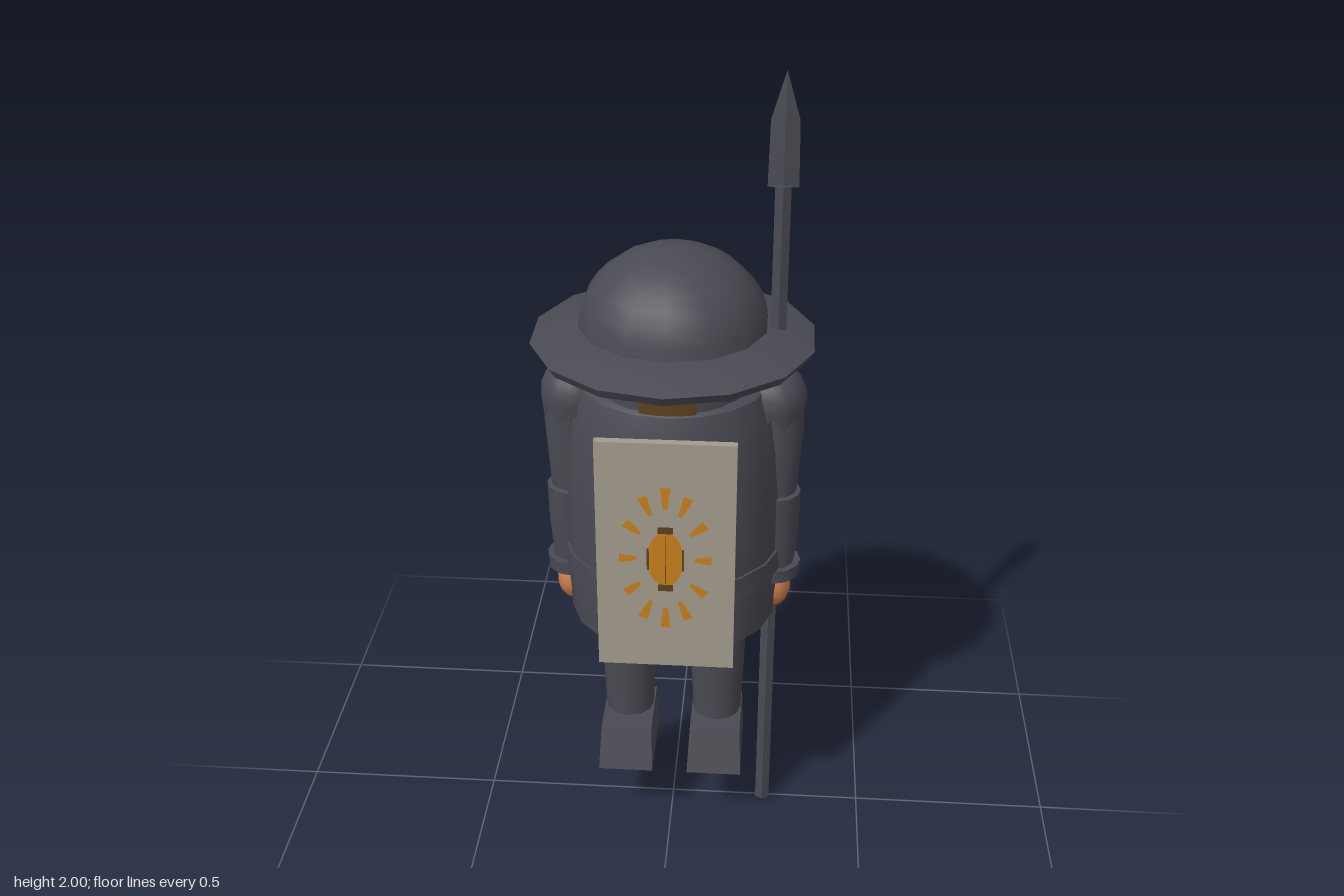
import * as THREE from 'three';
import { mergeGeometries, toCreasedNormals } from 'three/addons/utils/BufferGeometryUtils.js';

const material = (name, color) => {
  const m = new THREE.MeshStandardMaterial({ color });
  m.name = name;
  return m;
};

export function createModel() {
  const model = new THREE.Group();
  model.name = 'guard';
  const steel = material('dark steel', 0x4a4a53);
  const skin = material('skin', 0xc97a4b);
  const board = material('shield grey', 0xa39b8e);
  const orange = material('emblem orange', 0xc8801c);
  const brown = material('dark brown', 0x5c4020);

  const add = (parent, name, geometry, mat, x = 0, y = 0, z = 0) => {
    const mesh = new THREE.Mesh(geometry, mat);
    mesh.name = name;
    mesh.position.set(x, y, z);
    parent.add(mesh);
    return mesh;
  };
  // Turned shape from [radius, height] pairs, bottom to top
  const turned = (points, sides = 14, sx = 1, sz = 1) => {
    const g = new THREE.LatheGeometry(points.map(p => new THREE.Vector2(...p)), sides);
    g.scale(sx, 1, sz);
    return toCreasedNormals(g, 0.65);
  };

  // Helmet: wide sloping brim with a rounded dome
  add(model, 'helmetBrim', turned([
    [0, 1.365], [0.2, 1.365], [0.322, 1.353], [0.336, 1.376], [0.25, 1.405], [0.215, 1.41]
  ]), steel);
  const dome = [[0.224, 1.4]];
  for (let i = 1; i <= 8; i++) {
    const a = i / 8 * Math.PI / 2;
    dome.push([Math.max(0, 0.224 * Math.cos(a)), 1.4 + 0.193 * Math.sin(a)]);
  }
  add(model, 'helmetDome', turned(dome), steel);

  // Head, nose and the chin guard across the front
  add(model, 'head', turned([
    [0, 1.24], [0.15, 1.255], [0.185, 1.29], [0.203, 1.34], [0.2, 1.385]
  ], 16), skin);
  add(model, 'nose', new THREE.SphereGeometry(0.04, 12, 8), skin, 0, 1.345, 0.21);
  add(model, 'chinGuard', new THREE.CylinderGeometry(0.199, 0.199, 0.05, 10, 1, true, -1.1, 2.2),
    steel, 0, 1.275, 0);
  add(model, 'mouth', new THREE.CylinderGeometry(0.202, 0.202, 0.04, 6, 1, true, -0.33, 0.66),
    brown, 0, 1.285, 0);

  // Torso and belt
  add(model, 'tunic', turned([
    [0, 0.632], [0.236, 0.632], [0.242, 0.77], [0.243, 0.95], [0.236, 1.1],
    [0.22, 1.22], [0.207, 1.262], [0.19, 1.274], [0, 1.274]
  ], 18, 1.09, 1), steel);
  add(model, 'belt', turned([
    [0.235, 0.77], [0.248, 0.77], [0.248, 0.828], [0.235, 0.828]
  ], 18, 1.09, 1), steel);

  // Shoulder cap with a zigzag lower edge
  const shoulderCap = () => {
    const g = new THREE.SphereGeometry(0.087, 16, 6, 0, Math.PI * 2, 0, 1.95);
    const p = g.attributes.position;
    for (let i = 0; i <= 16; i++) {
      const v = 6 * 17 + i;
      p.setY(v, p.getY(v) + (i % 2 ? -0.022 : 0.012));
    }
    g.scale(0.92, 1, 1);
    g.computeVertexNormals();
    return g;
  };
  const capMaterial = steel.clone();
  capMaterial.name = 'dark steel cap';
  capMaterial.side = THREE.DoubleSide;

  // Shoe: box pinched toward the top
  const shoeGeometry = () => {
    const g = new THREE.BoxGeometry(0.14, 0.11, 0.23);
    const p = g.attributes.position;
    for (let i = 0; i < p.count; i++) {
      if (p.getY(i) < 0) continue;
      p.setX(i, p.getX(i) * 0.93);
      p.setZ(i, p.getZ(i) > 0 ? 0.08 : -0.1);
    }
    g.computeVertexNormals();
    return g;
  };

  for (const side of [1, -1]) {
    const label = side > 0 ? 'left' : 'right';

    // Arm
    const arm = new THREE.Group();
    arm.name = label + 'Arm';
    arm.position.x = side * 0.25;
    model.add(arm);
    add(arm, 'shoulderCap', shoulderCap(), capMaterial, -side * 0.012, 1.222, 0);
    add(arm, 'upperArm', turned([
      [0.05, 0.95], [0.053, 1.0], [0.062, 1.14], [0.06, 1.24], [0, 1.26]
    ], 12), steel);
    add(arm, 'forearm', turned([
      [0, 0.75], [0.05, 0.75], [0.06, 0.86], [0.062, 0.97], [0.045, 0.975]
    ], 12), steel);
    add(arm, 'cuff', turned([
      [0, 0.735], [0.066, 0.735], [0.068, 0.77], [0, 0.77]
    ], 12), steel);
    const hand = add(arm, 'hand', new THREE.SphereGeometry(0.046, 12, 9), skin, 0, 0.69, 0);
    hand.scale.y = 1.22;

    // Leg and shoe
    const leg = new THREE.Group();
    leg.name = label + 'Leg';
    leg.position.x = side * 0.115;
    model.add(leg);
    add(leg, 'trouser', turned([
      [0, 0.28], [0.062, 0.28], [0.067, 0.4], [0.074, 0.6], [0.074, 0.66], [0, 0.66]
    ], 12), steel);
    add(leg, 'shoe', shoeGeometry(), steel, 0, 0.245, 0.035);
  }

  // Emblem: an oval body ringed by tapered rays
  const rays = [];
  for (let i = 0; i < 12; i++) {
    const a = i / 12 * Math.PI * 2;
    const inner = new THREE.Vector2(0.068 * Math.sin(a), 0.135 * Math.cos(a));
    const outer = new THREE.Vector2(0.108 * Math.sin(a), 0.192 * Math.cos(a));
    const n = outer.clone().sub(inner).normalize();
    n.set(-n.y, n.x);
    const at = (p, w) => p.clone().addScaledVector(n, w);
    rays.push(new THREE.ShapeGeometry(new THREE.Shape([
      at(inner, 0.005), at(inner, -0.005), at(outer, -0.012), at(outer, 0.012)
    ])));
  }
  const rayGeometry = mergeGeometries(rays);
  const oval = new THREE.CircleGeometry(1, 20).scale(0.043, 0.075, 1);
  const seams = mergeGeometries([
    ...[0.079, -0.079].map(y => new THREE.PlaneGeometry(0.036, 0.018).translate(0, y, 0)),
    ...[-0.041, 0.041].map(x => new THREE.PlaneGeometry(0.005, 0.06).translate(x, 0, 0.001)),
    new THREE.PlaneGeometry(0.002, 0.13).translate(0, 0, 0.001)
  ]);

  // Front and back shields
  for (const turn of [0, Math.PI]) {
    const shield = new THREE.Group();
    shield.name = turn ? 'backShield' : 'frontShield';
    shield.rotation.y = turn;
    model.add(shield);
    add(shield, 'shieldBoard', new THREE.BoxGeometry(0.325, 0.61, 0.02), board, 0, 0.92, 0.249);
    add(shield, 'emblemRays', rayGeometry, orange, 0, 0.92, 0.261);
    add(shield, 'emblemBody', oval, orange, 0, 0.92, 0.2615);
    add(shield, 'emblemSeams', seams, brown, 0, 0.92, 0.262);
  }

  // Spear: six-sided shaft and a flat diamond-section blade
  const spear = new THREE.Group();
  spear.name = 'spear';
  spear.position.x = 0.243;
  model.add(spear);
  const shaft = new THREE.CylinderGeometry(0.021, 0.021, 1.745, 6);
  add(spear, 'shaft', toCreasedNormals(shaft, 0.5), steel, 0, 0.8725, 0);
  const blade = new THREE.LatheGeometry(
    [[0, 1.74], [0.035, 1.74], [0.032, 1.89], [0, 2]].map(p => new THREE.Vector2(...p)), 4);
  blade.scale(1, 1, 0.28);
  add(spear, 'blade', toCreasedNormals(blade, 0.3), steel);

  return model;
}
